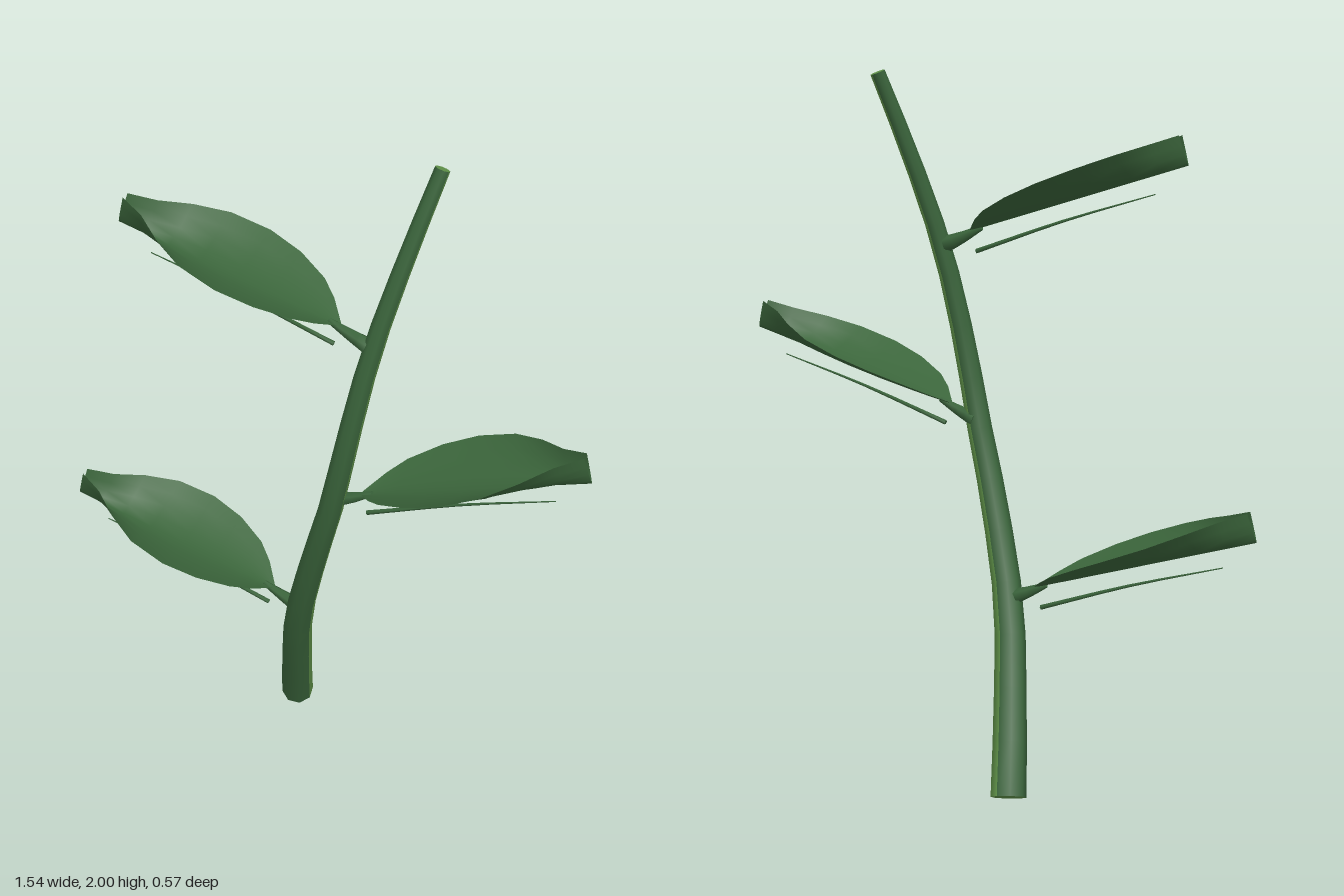
import * as THREE from 'three';

const V = (x, y, z) => new THREE.Vector3(x, y, z);

const leafGreen = new THREE.MeshStandardMaterial({ color: 0x3b653b, side: THREE.DoubleSide });
leafGreen.name = 'leaf green';
const stemGreen = new THREE.MeshStandardMaterial({ color: 0x3a643b });
stemGreen.name = 'stem green';
const lightGreen = new THREE.MeshStandardMaterial({ color: 0x5f9148 });
lightGreen.name = 'light green';

// Tapered tube along a smooth path; facets listed in `lit` and the caps use material 1
function taperedTube(points, r0, r1, sides, steps, lit = []) {
  const curve = new THREE.CatmullRomCurve3(points);
  const pos = [], dark = [], light = [], centres = [];
  for (let i = 0; i <= steps; i++) {
    const k = i / steps;
    const c = curve.getPointAt(k), t = curve.getTangentAt(k);
    const ref = Math.abs(t.x) > 0.7 ? V(0, 1, 0) : V(1, 0, 0);
    const a1 = ref.addScaledVector(t, -ref.dot(t)).normalize();
    const a2 = t.clone().cross(a1);
    const r = r0 + (r1 - r0) * k;
    centres.push(c);
    for (let j = 0; j < sides; j++) {
      const a = (j / sides) * Math.PI * 2;
      const p = c.clone().addScaledVector(a1, r * Math.cos(a)).addScaledVector(a2, r * Math.sin(a));
      pos.push(...p.toArray());
    }
  }
  for (let i = 0; i < steps; i++) {
    for (let j = 0; j < sides; j++) {
      const a = i * sides + j, b = i * sides + (j + 1) % sides;
      (lit.includes(j) ? light : dark).push(a, b, b + sides, a, b + sides, a + sides);
    }
  }
  // End caps with their own vertices, so the rims stay sharp
  for (const end of [0, steps]) {
    const base = pos.length / 3;
    pos.push(...pos.slice(end * sides * 3, (end + 1) * sides * 3), ...centres[end].toArray());
    for (let j = 0; j < sides; j++) {
      const a = base + j, b = base + (j + 1) % sides, m = base + sides;
      light.push(...(end ? [a, b, m] : [b, a, m]));
    }
  }
  const geo = new THREE.BufferGeometry();
  geo.setAttribute('position', new THREE.Float32BufferAttribute(pos, 3));
  geo.setIndex([...dark, ...light]);
  geo.addGroup(0, dark.length, 0);
  geo.addGroup(dark.length, light.length, 1);
  geo.computeVertexNormals();
  return geo;
}

// Cupped blade: [distance along the midrib, half width, edge lift]
const BLADE = [
  [0, 0.008, 0.004], [0.05, 0.075, 0.022], [0.1, 0.122, 0.036], [0.19, 0.168, 0.05],
  [0.29, 0.188, 0.06], [0.4, 0.171, 0.068], [0.49, 0.116, 0.075], [0.565, 0.05, 0.08],
  [0.636, 0.014, 0.083],
];

function bladeGeometry() {
  const along = V(0.944, 0.3, -0.33), across = V(0.33, 0, 0.944);
  const up = across.clone().cross(along).normalize();
  const n = 8, pos = [], idx = [];
  BLADE.forEach(([s, w, h], i) => {
    for (let j = 0; j <= n; j++) {
      const t = (j / n) * 2 - 1;
      const p = along.clone().multiplyScalar(s)
        .addScaledVector(across, w * t)
        .addScaledVector(up, h * Math.abs(t) ** 1.5);
      pos.push(...p.toArray());
      if (i && j) {
        const d = i * (n + 1) + j, c = d - 1, b = d - n - 1, a = b - 1;
        idx.push(a, b, d, a, d, c);
      }
    }
  });
  const geo = new THREE.BufferGeometry();
  geo.setAttribute('position', new THREE.Float32BufferAttribute(pos, 3));
  geo.setIndex(idx);
  geo.computeVertexNormals();
  return geo;
}

function mesh(name, geo, mat) {
  const m = new THREE.Mesh(geo, mat);
  m.name = name;
  return m;
}

export function createModel() {
  const model = new THREE.Group();
  model.name = 'leafySprig';

  // Curved stem with a lighter strip along one side
  const stemPath = [
    V(-0.24, 0.02, -0.185), V(-0.175, 0.23, -0.11), V(-0.09, 0.5, -0.025), V(0.01, 0.78, 0.02),
    V(0.085, 1.0, 0.035), V(0.135, 1.24, 0.025), V(0.175, 1.5, -0.02), V(0.218, 1.75, -0.095),
    V(0.26, 1.992, -0.185),
  ];
  model.add(mesh('stem', taperedTube(stemPath, 0.05, 0.021, 8, 14, [0, 1]), [stemGreen, lightGreen]));

  // Three identical leaves, alternating sides of the stem
  const blade = bladeGeometry();
  const petiole = taperedTube([V(-0.08, -0.04, 0.02), V(-0.03, -0.02, 0.008), V(0.03, 0.01, -0.01)], 0.024, 0.008, 6, 4);
  const vein = taperedTube([V(0.015, -0.057, -0.005), V(0.265, 0.035, -0.092), V(0.515, 0.113, -0.178)], 0.007, 0.0015, 5, 6);
  const leaves = [
    ['lowerLeaf', -0.17, 0.57, Math.PI],
    ['middleLeaf', 0.165, 1.055, 0],
    ['upperLeaf', 0.08, 1.555, Math.PI],
  ];
  for (const [name, x, y, turn] of leaves) {
    const leaf = new THREE.Group();
    leaf.name = name;
    leaf.add(
      mesh('blade', blade, leafGreen),
      mesh('petiole', petiole, [stemGreen, stemGreen]),
      mesh('midrib', vein, [stemGreen, stemGreen]),
    );
    leaf.position.set(x, y, 0);
    leaf.rotation.y = turn;
    model.add(leaf);
  }
  return model;
}
